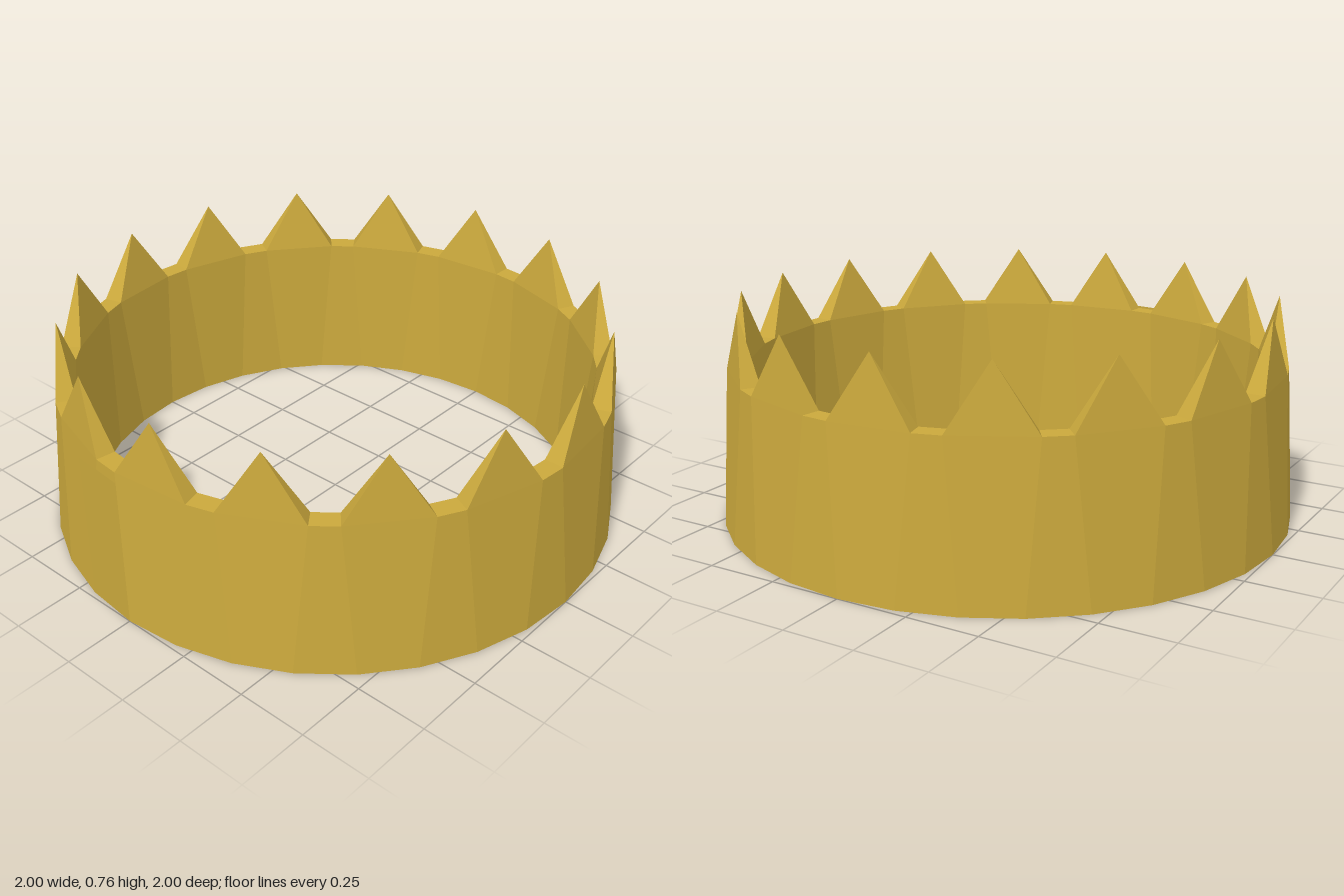
import * as THREE from 'three';

const COUNT = 16;                 // spikes around the ring
const STEP = Math.PI / COUNT;     // one wall panel
const FLARE = 0.049;              // how far each spike base widens past its panel (radians)
const RIM = 0.54, TIP = 0.76;
const OUT0 = 1, OUT1 = 0.965, IN0 = 0.873, IN1 = 0.898, TIP_R = 0.932;

const gold = new THREE.MeshStandardMaterial({ color: 0xcaa83c, flatShading: true });
const goldThin = gold.clone();
goldThin.side = THREE.DoubleSide;

// Point on a circle; angle 0 faces the front, growing toward +x
const at = (r, a, y) => [r * Math.sin(a), y, r * Math.cos(a)];

// Mesh from convex polygons listed counter-clockwise from outside
function polyMesh(name, polys, material) {
  const pos = [];
  for (const p of polys) {
    for (let i = 1; i < p.length - 1; i++) pos.push(...p[0], ...p[i], ...p[i + 1]);
  }
  const g = new THREE.BufferGeometry();
  g.setAttribute('position', new THREE.Float32BufferAttribute(pos, 3));
  g.computeVertexNormals();
  const m = new THREE.Mesh(g, material);
  m.name = name;
  return m;
}

export function createModel() {
  const group = new THREE.Group();
  group.name = 'crown';

  // Vertical seams: panels alternate wide (under a spike) and narrow (a gap) at the rim
  const seam = (i) => {
    const a = i * STEP;
    const top = a + (i % 2 === 0 ? -FLARE : FLARE);
    return {
      ob: at(OUT0, a, 0), ib: at(IN0, a, 0),
      ot: at(OUT1, top, RIM), it: at(IN1, top, RIM),
    };
  };

  const outer = [], inner = [], base = [], floors = [], spikes = [];
  for (let i = 0; i < COUNT * 2; i++) {
    const l = seam(i), r = seam(i + 1);
    outer.push([l.ob, r.ob, r.ot, l.ot]);
    inner.push([r.ib, l.ib, l.it, r.it]);
    base.push([l.ib, r.ib, r.ob, l.ob]);
    if (i % 2) {
      floors.push([l.ot, r.ot, r.it, l.it]);
    } else {
      const tip = at(TIP_R, (i + 0.5) * STEP, TIP);
      spikes.push([l.ot, r.ot, tip], [r.ot, r.it, tip], [r.it, l.it, tip], [l.it, l.ot, tip]);
    }
  }
  group.add(
    polyMesh('outerWall', outer, gold),
    polyMesh('innerWall', inner, gold),
    polyMesh('bottomRim', base, gold),
    polyMesh('gapFloors', floors, gold),
    polyMesh('spikes', spikes, gold),
  );

  // Thin upright plate standing off the front wall
  group.add(polyMesh('frontPlate', [[
    at(OUT0, -STEP, 0), at(OUT0, 0, 0), at(OUT0, 0, RIM), at(OUT0, -STEP, RIM),
  ]], goldThin));

  return group;
}
